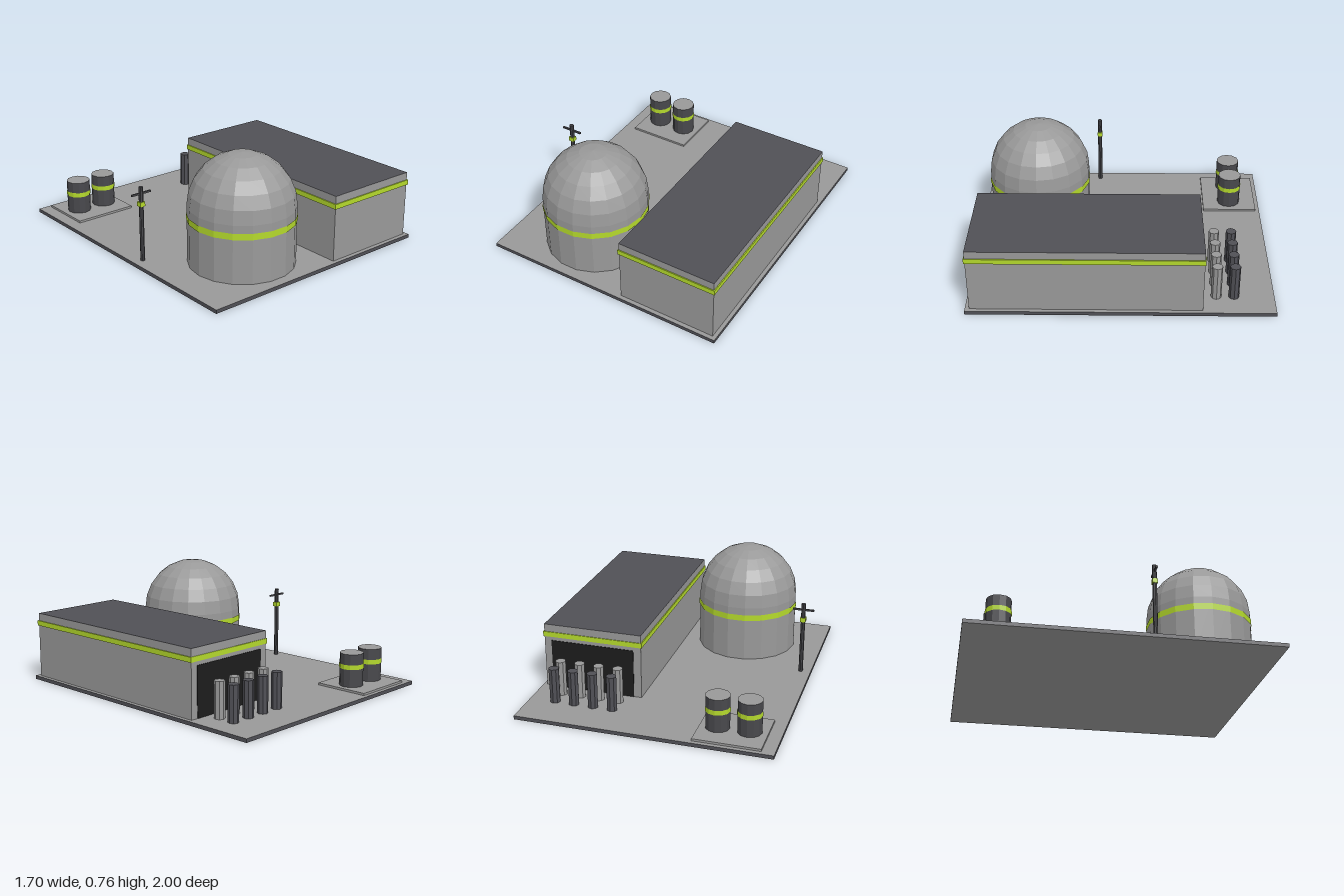
import * as THREE from 'three';

const mat = (name, color) => {
  const m = new THREE.MeshStandardMaterial({ color, flatShading: true });
  m.name = name;
  return m;
};

export function createModel() {
  const concrete = mat('concrete', 0x999999);
  const slate = mat('slate', 0x505056);
  const darkMetal = mat('darkMetal', 0x48484c);
  const lime = mat('lime', 0xb4d92c);
  const doorBlack = mat('doorBlack', 0x1c1c1c);

  const model = new THREE.Group();
  model.name = 'industrialSite';

  const group = (name, x = 0, z = 0) => {
    const g = new THREE.Group();
    g.name = name;
    g.position.set(x, 0, z);
    model.add(g);
    return g;
  };
  const add = (name, geometry, material, x, y, z, parent = model) => {
    const mesh = new THREE.Mesh(geometry, material);
    mesh.name = name;
    mesh.position.set(x, y, z);
    parent.add(mesh);
  };
  // Box given by its minimum and maximum on each axis
  const box = (name, material, [x0, x1], [y0, y1], [z0, z1], parent) =>
    add(name, new THREE.BoxGeometry(x1 - x0, y1 - y0, z1 - z0), material,
      (x0 + x1) / 2, (y0 + y1) / 2, (z0 + z1) / 2, parent);
  // Upright prism from y0 to y1, optionally without end caps
  const drum = (name, material, r, sides, x, y0, y1, z, parent, open = false, turn = 0) =>
    add(name, new THREE.CylinderGeometry(r, r, y1 - y0, sides, 1, open, turn), material,
      x, (y0 + y1) / 2, z, parent);

  const GROUND = 0.025;
  // Box material order: +x, -x, +y, -y, +z, -z
  const faces = (side, top, bottom) => [side, side, top, bottom, side, side];

  // Ground slab: pale faces, dark rim
  box('groundSlab', faces(slate, concrete, concrete), [-0.85, 0.85], [0, GROUND], [-1, 1]);

  // Long hall with dark roof, painted band and rear door
  const hall = group('hall');
  box('hallWalls', faces(concrete, slate, concrete), [0.148, 0.824], [GROUND, 0.472], [-0.528, 0.972], hall);
  box('hallBand', lime, [0.141, 0.831], [0.386, 0.42], [-0.533, 0.979], hall);
  box('hallDoor', doorBlack, [0.2, 0.775], [GROUND, 0.36], [-0.532, -0.526], hall);

  // Domed vessel
  const vessel = group('domedVessel', -0.295, 0.585);
  const R = 0.35, SIDES = 18, TURN = Math.PI / 2;
  drum('vesselWall', concrete, R, SIDES, 0, GROUND, 0.415, 0, vessel, true, TURN);
  drum('vesselBand', lime, R + 0.005, SIDES, 0, 0.323, 0.365, 0, vessel, true, TURN);
  add('vesselDome', new THREE.SphereGeometry(R, SIDES, 6, 0, Math.PI * 2, 0, Math.PI / 2),
    concrete, 0, 0.415, 0, vessel);

  // Two rows of upright rods behind the hall
  for (let i = 0; i < 4; i++) {
    const x = 0.278 + i * 0.1325;
    drum('darkRod', slate, 0.035, 8, x, 0.002, 0.265, -0.735);
    drum('paleRod', concrete, 0.035, 8, x, GROUND, 0.265, -0.62);
  }

  // Storage drums on a raised pad
  const storage = group('storage');
  box('storagePad', concrete, [-0.766, -0.326], [GROUND, 0.04], [-0.972, -0.592], storage);
  for (const x of [-0.648, -0.442]) {
    drum('storageDrum', [darkMetal, concrete, darkMetal], 0.08, 12, x, 0.04, 0.265, -0.78, storage);
    drum('drumBand', lime, 0.083, 12, x, 0.161, 0.193, -0.78, storage, true);
  }

  // Mast with crossbar and painted collar
  const mast = group('mast', -0.78, 0.175);
  drum('mastPole', darkMetal, 0.015, 8, 0, 0.002, 0.53, 0, mast);
  box('mastCollar', lime, [-0.019, 0.019], [0.4, 0.43], [-0.017, 0.017], mast);
  box('mastCrossbar', darkMetal, [-0.073, 0.073], [0.48, 0.492], [-0.006, 0.006], mast);

  return model;
}
